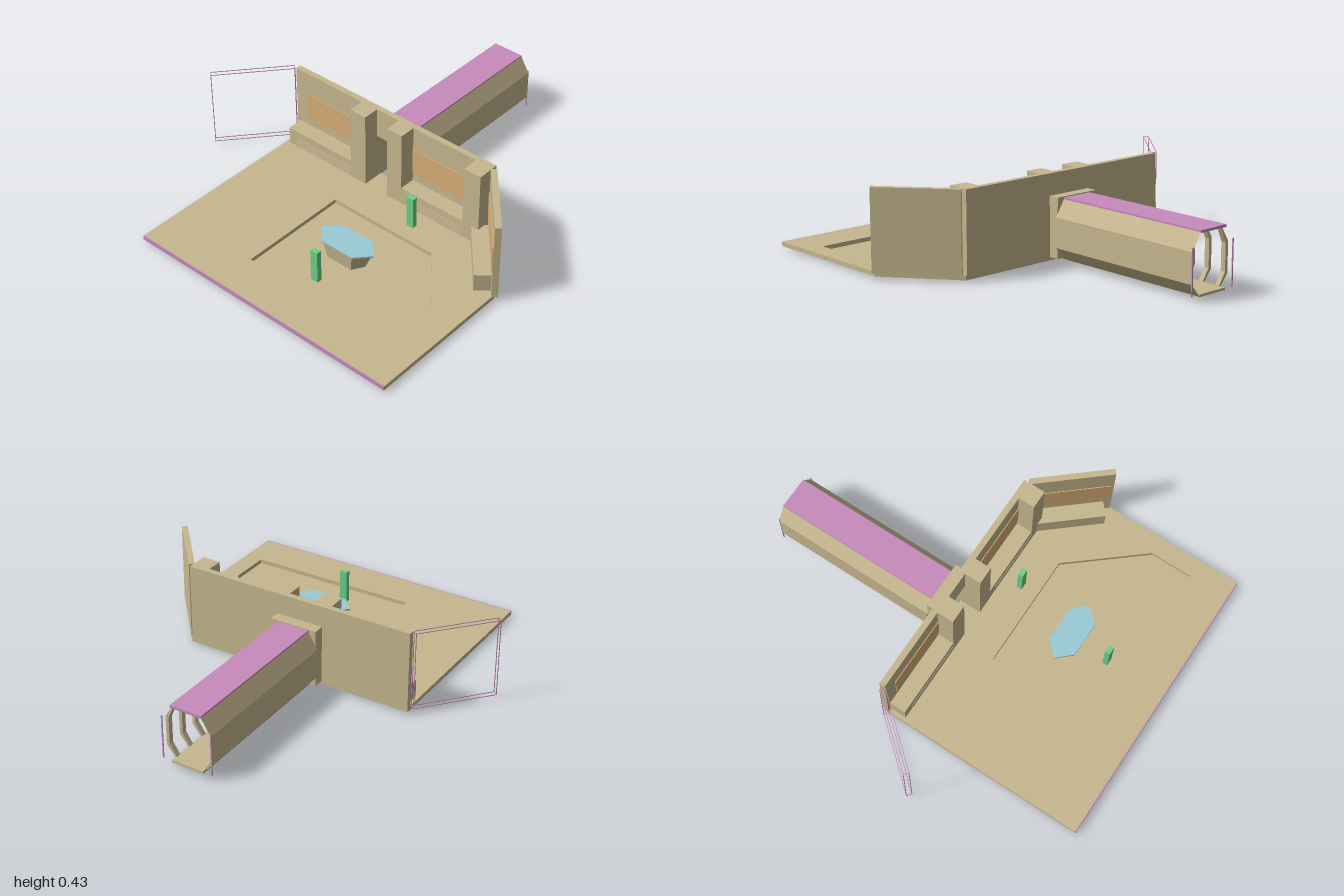
import * as THREE from 'three';

const mat = (name, color) => {
  const m = new THREE.MeshStandardMaterial({ color });
  m.name = name;
  return m;
};

export function createModel() {
  const model = new THREE.Group();
  const tan = mat('tan', 0xc6b78f);
  const purple = mat('purple', 0xc68abb);
  const orange = mat('orange', 0xd8ae75);
  const pale = mat('pale tan', 0xcfbc98);
  const blue = mat('light blue', 0x9acad6);
  const green = mat('green', 0x6cd088);

  const add = (name, geo, material, parent = model) => {
    const m = new THREE.Mesh(geo, material);
    m.name = name;
    parent.add(m);
    return m;
  };
  // Box given by its two extreme corners
  const box = (name, x0, x1, y0, y1, z0, z1, material, parent) => {
    const m = add(name, new THREE.BoxGeometry(x1 - x0, y1 - y0, z1 - z0), material, parent);
    m.position.set((x0 + x1) / 2, (y0 + y1) / 2, (z0 + z1) / 2);
    return m;
  };
  const points = (list) => list.map(([x, y]) => new THREE.Vector2(x, y));
  // Horizontal slab from an outline in x and z
  const slab = (name, outline, y0, y1, material, hole) => {
    const shape = new THREE.Shape(points(outline));
    if (hole) shape.holes.push(new THREE.Path(points(hole)));
    const geo = new THREE.ExtrudeGeometry(shape, { depth: y1 - y0, bevelEnabled: false });
    return add(name, geo.rotateX(Math.PI / 2).translate(0, y1, 0), material);
  };
  // Vertical plate from an outline in x and y
  const plate = (name, outline, z0, z1, material) => {
    const geo = new THREE.ExtrudeGeometry(new THREE.Shape(points(outline)),
      { depth: z1 - z0, bevelEnabled: false });
    return add(name, geo.translate(0, 0, z0), material);
  };

  // Floor with a sunken area and a coloured front edge
  const pit = [[-0.115, 0.215], [0.48, 0.215], [0.78, 0.57], [0.78, 0.79], [-0.115, 0.79]];
  slab('floor', [[-0.61, -0.083], [0.61, -0.083], [0.873, 0.25], [0.873, 0.995], [-0.61, 0.995]],
    0.012, 0.034, tan, pit);
  slab('pitFloor', pit, 0, 0.013, tan);
  box('floorFrontEdge', -0.61, 0.873, 0.012, 0.034, 0.995, 1, purple);

  // Back wall with a doorway
  const door = { x0: -0.085, x1: 0.05, top: 0.275 };
  const portal = (x0, x1, top) => [[x0, 0.03], [door.x0, 0.03], [door.x0, door.top],
    [door.x1, door.top], [door.x1, 0.03], [x1, 0.03], [x1, top], [x0, top]];
  plate('backWall', portal(-0.61, 0.605, 0.432), -0.085, -0.055, tan);
  plate('corridorCollar', portal(-0.145, 0.1, 0.325), -0.14, -0.085, tan);

  // Pillars, benches and wall screens
  for (const [x0, x1] of [[-0.18, -0.085], [0.05, 0.14], [0.51, 0.605]])
    box('pillar', x0, x1, 0.03, 0.432, -0.055, 0.03, tan);
  for (const [x0, x1, s0] of [[-0.59, -0.18, -0.535], [0.14, 0.51, 0.14]]) {
    box('bench', x0, x1, 0.03, 0.125, -0.055, 0.029, tan);
    box('benchPanel', Math.max(s0, x0 + 0.05), x1, 0.04, 0.085, 0.028, 0.031, pale);
    box('wallScreen', s0, x1, 0.17, 0.308, -0.056, -0.051, orange);
  }

  // Angled side wall; its local x runs along the wall, its z faces the room
  const side = new THREE.Group();
  side.name = 'angledWall';
  side.position.set(0.6, 0, -0.05);
  side.rotation.y = -0.862;
  model.add(side);
  box('sideWall', 0, 0.415, 0.03, 0.432, -0.03, 0, tan, side);
  box('sideBench', 0.03, 0.375, 0.03, 0.125, 0, 0.08, tan, side);
  box('sideScreen', 0.015, 0.4, 0.168, 0.306, -0.001, 0.004, orange, side);

  // Open outline of the opposite angled wall
  const frame = new THREE.Group();
  frame.name = 'openWallFrame';
  frame.position.set(-0.61, 0, -0.05);
  frame.rotation.y = Math.PI + 0.862;
  model.add(frame);
  const t = 0.003;
  for (const z of [0, 0.03 - t]) {
    for (const y of [0.03, 0.432 - t]) box('frameRail', 0, 0.415, y, y + t, z, z + t, purple, frame);
    for (const x of [0, 0.415 - t]) box('framePost', x, x + t, 0.03, 0.432, z, z + t, purple, frame);
  }
  for (const x of [0, 0.415 - t])
    for (const y of [0.03, 0.432 - t]) box('frameEnd', x, x + t, y, y + t, 0, 0.03, purple, frame);

  // Corridor: roof, floor, outer skin on each side and ribs inside
  const cx = -0.022, zNear = -0.14, zFar = -1;
  box('corridorRoof', cx - 0.083, cx + 0.083, 0.308, 0.32, zFar, zNear, purple);
  box('corridorFloor', cx - 0.083, cx + 0.083, 0.022, 0.034, zFar, zNear, tan);
  const outer = [[0.083, 0.024], [0.132, 0.085], [0.132, 0.232], [0.083, 0.312]];
  const inner = [[0.078, 0.31], [0.114, 0.226], [0.114, 0.092], [0.078, 0.036]];
  for (const s of [1, -1]) {
    const pos = [];
    for (let i = 0; i < 3; i++) {
      const [ax, ay] = outer[i], [bx, by] = outer[i + 1];
      const a = [cx + s * ax, ay, zNear], b = [cx + s * bx, by, zNear];
      const c = [b[0], by, zFar], d = [a[0], ay, zFar];
      const quad = s > 0 ? [a, d, c, a, c, b] : [a, c, d, a, b, c];
      pos.push(...quad.flat());
    }
    const skin = new THREE.BufferGeometry();
    skin.setAttribute('position', new THREE.Float32BufferAttribute(pos, 3));
    skin.computeVertexNormals();
    add('corridorSide', skin, tan);

    const rib = [...outer.map(([x, y]) => [x - 0.002, y]), ...inner].map(([x, y]) => [cx + s * x, y]);
    for (let i = 0; i < 9; i++) {
      const z = zFar + 0.03 + i * 0.097;
      plate('corridorRib', rib, z, z + 0.025, tan);
    }
    // Thin coloured trim at the open end
    const tx = cx + s * 0.13;
    box('corridorEndTrim', tx - 0.003, tx + 0.003, 0.03, 0.25, zFar, zFar + 0.004, purple);
  }

  // Tapered six-sided table in the sunken area
  const hex = (w, c, d) => [[-w, 0], [-c, -d], [c, -d], [w, 0], [c, d], [-c, d]];
  const topRing = hex(0.148, 0.088, 0.069), baseRing = hex(0.108, 0.072, 0.058);
  const tp = [];
  for (let i = 0; i < 6; i++) {
    const j = (i + 1) % 6;
    const P = (ring, k, y) => [0.19 + ring[k][0], y, 0.468 + ring[k][1]];
    const a = P(baseRing, i, 0.012), b = P(baseRing, j, 0.012);
    const c = P(topRing, j, 0.1), d = P(topRing, i, 0.1);
    tp.push(...[a, d, c, a, c, b].flat());
  }
  const table = new THREE.BufferGeometry();
  table.setAttribute('position', new THREE.Float32BufferAttribute(tp, 3));
  table.computeVertexNormals();
  add('tableBase', table, tan);
  const rim = hex(0.16, 0.092, 0.073).map(([x, z]) => [0.19 + x, 0.468 + z]);
  slab('tableRim', rim, 0.098, 0.104, tan);
  slab('tableTop', rim, 0.104, 0.107, blue);

  // Standing markers
  for (const [x, z, y0] of [[0.005, -0.3, 0.03], [0.187, 0.675, 0.012], [0.282, 0.122, 0.03]])
    box('marker', x - 0.02, x + 0.02, y0, y0 + 0.172, z - 0.013, z + 0.013, green);

  return model;
}
